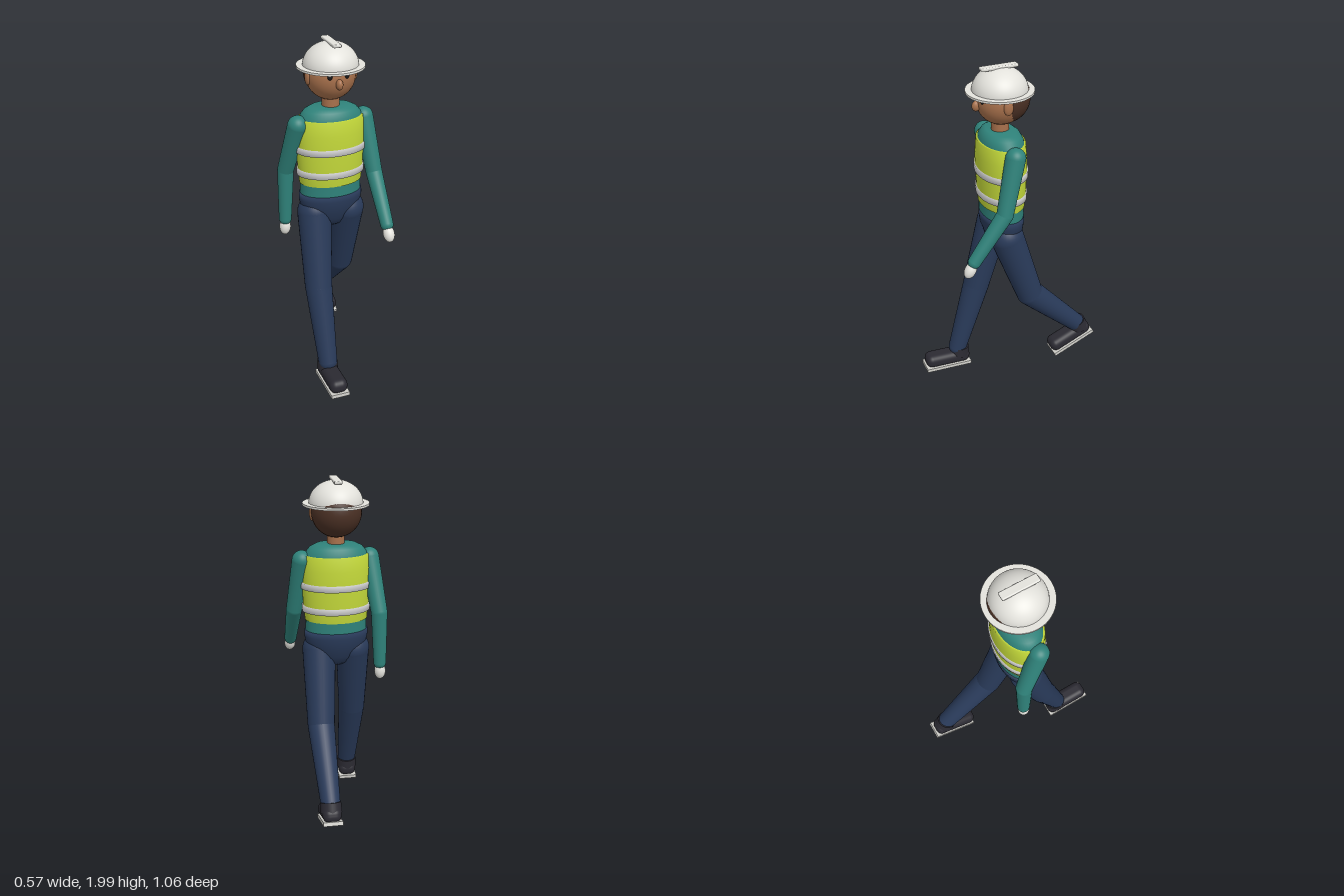
import * as THREE from 'three';
import { RoundedBoxGeometry } from 'three/addons/geometries/RoundedBoxGeometry.js';

const mat = (name, color) => {
  const m = new THREE.MeshStandardMaterial({ color });
  m.name = name;
  return m;
};
const V = (x, y, z) => new THREE.Vector3(x, y, z);

export function createModel() {
  const skin = mat('skin', 0xa8714c);
  const hair = mat('hair brown', 0x4a3024);
  const shirt = mat('shirt teal', 0x2f827a);
  const vest = mat('vest yellow', 0xc4d93a);
  const band = mat('reflective grey', 0xcacaca);
  const denim = mat('trouser blue', 0x293a59);
  const leather = mat('shoe black', 0x2b2a32);
  const sole = mat('sole grey', 0xd0cfca);
  const white = mat('white', 0xe3e2dc);
  const black = mat('eye black', 0x17171a);

  const model = new THREE.Group();
  model.name = 'worker';

  const add = (name, geometry, material, pos = V(0, 0, 0), parent = model) => {
    const mesh = new THREE.Mesh(geometry, material);
    mesh.name = name;
    mesh.position.copy(pos);
    parent.add(mesh);
    return mesh;
  };
  const ball = (name, material, pos, rx, ry = rx, rz = rx, parent = model) => {
    const mesh = add(name, new THREE.SphereGeometry(1, 32, 20), material, pos, parent);
    mesh.scale.set(rx, ry, rz);
    return mesh;
  };
  // Elliptical body section from [radius, height] pairs
  const body = (name, material, points, depth) => {
    const pts = points.map(([r, y]) => new THREE.Vector2(r, y));
    const mesh = add(name, new THREE.LatheGeometry(pts, 48), material, V(0, 0, 0.048));
    mesh.scale.z = depth;
    return mesh;
  };
  const aim = (mesh, a, b) =>
    mesh.quaternion.setFromUnitVectors(V(0, 1, 0), b.clone().sub(a).normalize());
  // Tapered segments with a ball at every joint
  const limb = (name, material, joints, radii) => {
    const group = new THREE.Group();
    group.name = name;
    model.add(group);
    joints.forEach((p, i) => {
      ball(name + 'Joint', material, p, radii[i], radii[i], radii[i], group);
      if (i === 0) return;
      const a = joints[i - 1];
      const geo = new THREE.CylinderGeometry(radii[i], radii[i - 1], a.distanceTo(p), 28, 1, true);
      aim(add(name + 'Segment', geo, material, a.clone().add(p).multiplyScalar(0.5), group), a, p);
    });
  };

  // Torso and pelvis
  body('pelvis', denim,
    [[0, 0.91], [0.05, 0.915], [0.095, 0.935], [0.14, 0.98], [0.176, 1.05], [0.186, 1.1], [0.185, 1.135], [0, 1.137]], 0.64);
  body('shirt', shirt,
    [[0.178, 1.12], [0.176, 1.22], [0.187, 1.4], [0.182, 1.56], [0.172, 1.595], [0.15, 1.622], [0.115, 1.64], [0, 1.645]], 0.66);
  body('vest', vest,
    [[0.17, 1.2], [0.181, 1.2], [0.19, 1.3], [0.197, 1.42], [0.195, 1.5], [0.187, 1.58], [0.17, 1.582]], 0.68);
  for (const [y, r] of [[1.27, 0.196], [1.407, 0.204]]) {
    body('reflectiveBand', band,
      [[r - 0.02, y - 0.018], [r, y - 0.018], [r, y + 0.018], [r - 0.02, y + 0.018]], 0.69);
  }

  // Head
  add('neck', new THREE.CylinderGeometry(0.049, 0.049, 0.1, 28), skin, V(0, 1.675, 0.05));
  ball('head', skin, V(0, 1.813, 0.045), 0.137);
  ball('hair', hair, V(0, 1.822, 0.025), 0.1405);
  ball('nose', skin, V(0, 1.795, 0.187), 0.019, 0.029, 0.024);
  for (const s of [-1, 1]) {
    ball('ear', skin, V(s * 0.132, 1.812, 0.058), 0.016, 0.043, 0.027);
    ball('eye', black, V(s * 0.047, 1.836, 0.171), 0.014, 0.017, 0.009);
  }

  // Hard hat
  const dome = add('hatDome',
    new THREE.SphereGeometry(0.152, 48, 20, 0, Math.PI * 2, 0, Math.PI / 2), white, V(0, 1.862, 0.05));
  dome.scale.y = 0.13 / 0.152;
  add('hatBrim', new THREE.CylinderGeometry(0.186, 0.186, 0.012, 48), white, V(0, 1.863, 0.05));
  add('hatRidge', new RoundedBoxGeometry(0.046, 0.018, 0.21, 2, 0.006), white, V(0, 1.991, 0.055));

  // Arms: left swings forward, right hangs slightly back
  const arms = [
    ['leftArm', V(0.195, 1.55, 0.045), V(0.235, 1.24, 0.125), V(0.243, 0.99, 0.312), V(0.245, 0.945, 0.338)],
    ['rightArm', V(-0.195, 1.55, 0.065), V(-0.237, 1.25, -0.042), V(-0.245, 0.94, -0.045), V(-0.247, 0.887, -0.045)],
  ];
  for (const [name, shoulder, elbow, wrist, palm] of arms) {
    limb(name, shirt, [shoulder, elbow, wrist], [0.056, 0.047, 0.037]);
    aim(ball('hand', white, palm, 0.033, 0.05, 0.033), wrist, palm);
  }

  // Legs: right steps forward, left pushes off behind
  limb('rightLeg', denim, [V(-0.1, 1.01, 0.055), V(-0.115, 0.575, 0.168), V(-0.108, 0.13, 0.308)], [0.098, 0.08, 0.056]);
  limb('leftLeg', denim, [V(0.1, 1.01, 0.055), V(0.11, 0.58, -0.09), V(0.104, 0.235, -0.43)], [0.098, 0.08, 0.056]);

  // Shoes
  const feet = [
    ['rightShoe', V(-0.107, 0.017, 0.386), -0.075],
    ['leftShoe', V(0.103, 0.11, -0.396), 0.39],
  ];
  for (const [name, pos, pitch] of feet) {
    const shoe = new THREE.Group();
    shoe.name = name;
    shoe.position.copy(pos);
    shoe.rotation.x = pitch;
    model.add(shoe);
    add('sole', new THREE.BoxGeometry(0.112, 0.022, 0.292), sole, V(0, 0.011, 0), shoe);
    add('upper', new RoundedBoxGeometry(0.108, 0.085, 0.286, 5, 0.038), leather, V(0, 0.056, 0), shoe);
    add('collar', new THREE.CylinderGeometry(0.059, 0.062, 0.06, 28), leather, V(0, 0.096, -0.08), shoe);
  }
  return model;
}
